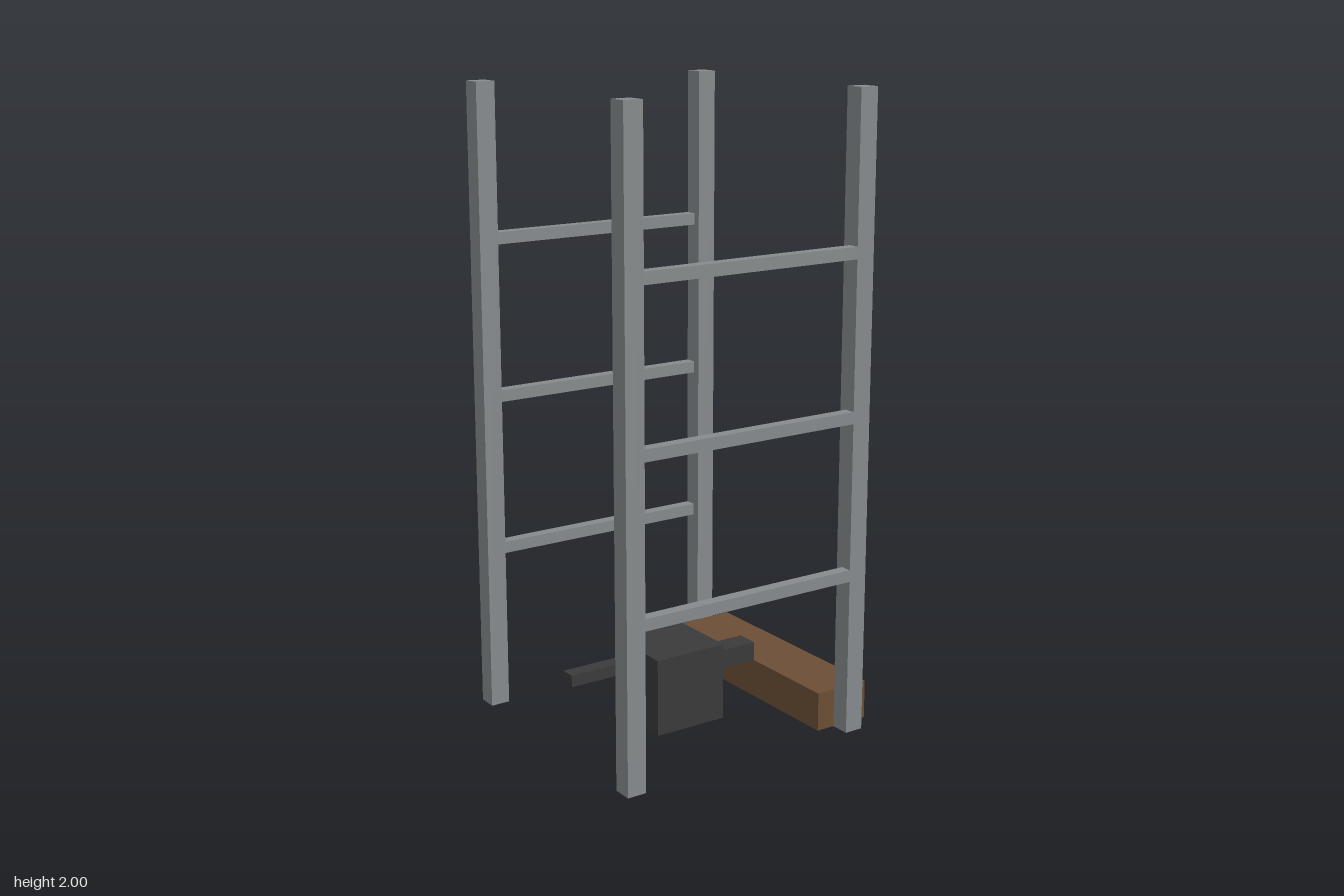
import * as THREE from 'three';

const material = (name, color) => {
  const m = new THREE.MeshStandardMaterial({ color });
  m.name = name;
  return m;
};

export function createModel() {
  const steel = material('steel grey', 0x868a8c);
  const wood = material('brown wood', 0x6b4e35);
  const iron = material('dark iron', 0x3a3a3a);
  const model = new THREE.Group();
  model.name = 'frame';

  // Box given by its lower and upper corner
  const box = (name, mat, [x0, y0, z0], [x1, y1, z1], parent = model) => {
    const mesh = new THREE.Mesh(new THREE.BoxGeometry(x1 - x0, y1 - y0, z1 - z0), mat);
    mesh.position.set((x0 + x1) / 2, (y0 + y1) / 2, (z0 + z1) / 2);
    mesh.name = name;
    parent.add(mesh);
  };

  // Two ladder sides, with rungs flush to the outer faces of the posts
  for (const side of [1, -1]) {
    const ladder = new THREE.Group();
    ladder.name = side > 0 ? 'frontLadder' : 'backLadder';
    const [p0, p1] = side > 0 ? [0.375, 0.4375] : [-0.4375, -0.375];
    const [r0, r1] = side > 0 ? [0.4, 0.4375] : [-0.4375, -0.4];
    box('rightPost', steel, [-0.469, 0, p0], [-0.406, 2, p1], ladder);
    box('leftPost', steel, [0.344, 0, p0], [0.406, 2, p1], ladder);
    for (const y of [0.5, 1, 1.5]) {
      box('rung', steel, [-0.406, y, r0], [0.344, y + 0.0375, r1], ladder);
    }
    model.add(ladder);
  }

  // Wooden sill between the left posts
  box('woodenBeam', wood, [0.281, 0, -0.375], [0.469, 0.125, 0.375]);

  // Central block with its two arms
  box('block', iron, [-0.156, 0, -0.125], [0.094, 0.25, 0.125]);
  box('thinArm', iron, [-0.406, 0.1875, -0.025], [-0.156, 0.225, 0.025]);
  box('thickArm', iron, [0.094, 0.125, -0.037], [0.281, 0.1875, 0.037]);

  return model;
}
